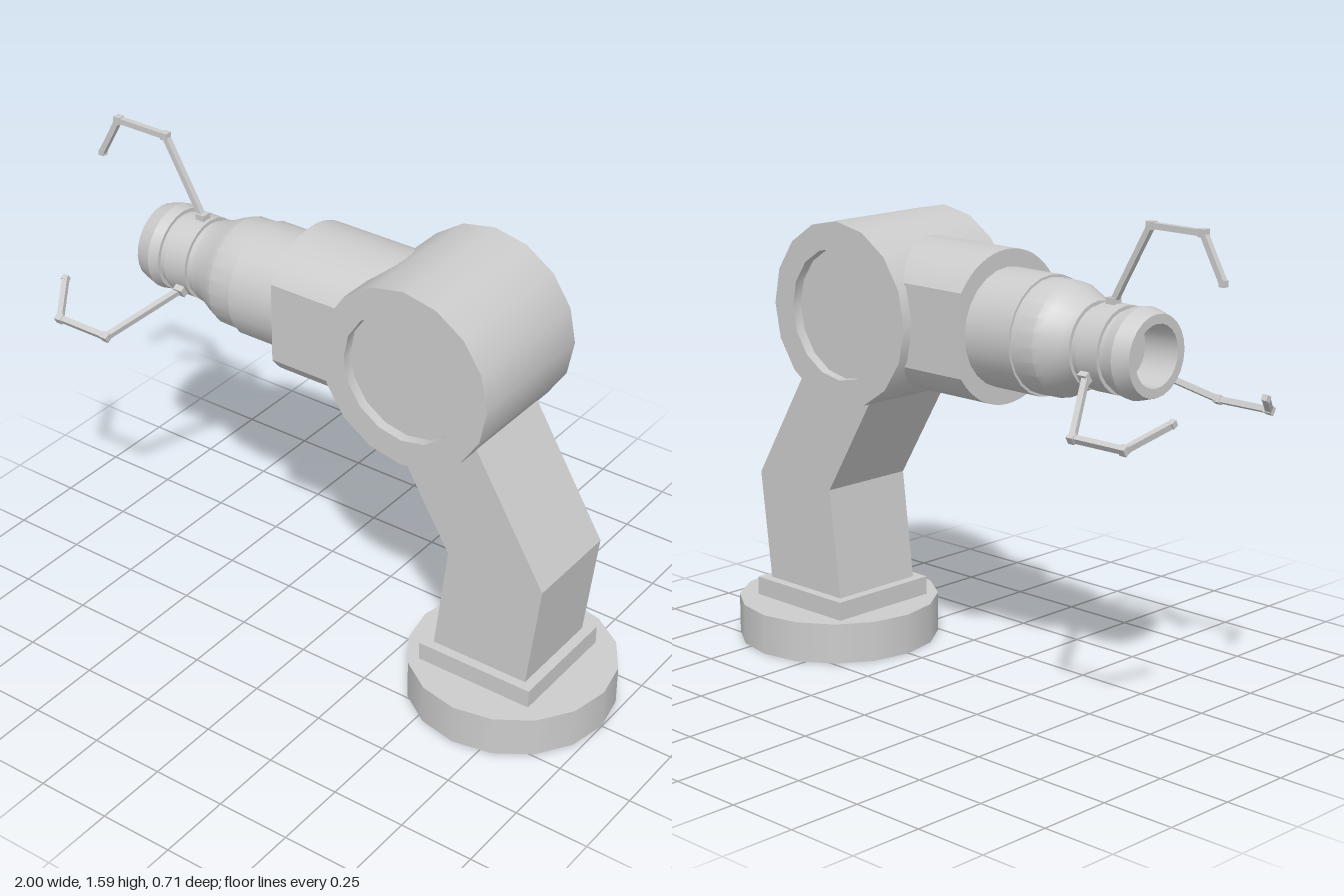
import * as THREE from 'three';
import { toCreasedNormals } from 'three/addons/utils/BufferGeometryUtils.js';

const AXIS_Y = 1.19; // height of the forearm and shoulder axis
const BASE_X = 0.657;

const grey = new THREE.MeshStandardMaterial({ color: 0xcccccc });
const greyDouble = new THREE.MeshStandardMaterial({ color: 0xcccccc, side: THREE.DoubleSide });

function part(parent, name, geometry, material = grey) {
  const mesh = new THREE.Mesh(geometry, material);
  mesh.name = name;
  parent.add(mesh);
  return mesh;
}

function lathe(points, sides) {
  const profile = points.map(([r, h]) => new THREE.Vector2(r, h));
  return toCreasedNormals(new THREE.LatheGeometry(profile, sides), 0.45);
}

function extrude(shape, depth) {
  const g = new THREE.ExtrudeGeometry(shape, { depth, bevelEnabled: false, curveSegments: 8 });
  return toCreasedNormals(g, 0.45);
}

const outline = (points) => new THREE.Shape(points.map(([x, y]) => new THREE.Vector2(x, y)));

const rectangle = (w, d) => [[-w, -d], [w, -d], [w, d], [-w, d]];

// Foot: a hollow round drum with a hollow square plate on top
function createFoot() {
  const foot = new THREE.Group();
  foot.name = 'foot';
  const radius = 0.342, top = 0.137, plateTop = 0.2, halfW = 0.207, halfD = 0.203;
  const plateX = 0.638 - BASE_X;

  const wall = new THREE.CylinderGeometry(radius, radius, top, 16, 1, true);
  part(foot, 'footWall', wall.translate(0, top / 2, 0), greyDouble);

  const disc = outline(Array.from({ length: 16 }, (_, i) => {
    const a = (i * Math.PI) / 8;
    return [radius * Math.cos(a), radius * Math.sin(a)];
  }));
  const hole = rectangle(halfW, halfD).map(([x, y]) => new THREE.Vector2(x + plateX, y));
  disc.holes.push(new THREE.Path(hole));
  const cover = new THREE.ShapeGeometry(disc).rotateX(-Math.PI / 2);
  part(foot, 'footCover', cover.translate(0, top, 0), greyDouble);

  const rise = plateTop - top;
  for (const s of [-1, 1]) {
    const long = new THREE.PlaneGeometry(2 * halfW, rise);
    part(foot, 'plateEdge', long.translate(plateX, top + rise / 2, s * halfD), greyDouble)
      .geometry.computeVertexNormals();
    const short = new THREE.PlaneGeometry(2 * halfD, rise).rotateY(Math.PI / 2);
    part(foot, 'plateEdge', short.translate(plateX + s * halfW, top + rise / 2, 0), greyDouble);
  }
  const plate = new THREE.PlaneGeometry(2 * halfW, 2 * halfD).rotateX(-Math.PI / 2);
  part(foot, 'plateTop', plate.translate(plateX, plateTop, 0), greyDouble);

  foot.position.x = BASE_X;
  return foot;
}

// Finger: square bars between joints, lying in the plane of the wrist axis
function createFinger() {
  const finger = new THREE.Group();
  finger.name = 'finger';
  const joints = [[-0.575, 0.138], [-0.717, 0.388], [-0.913, 0.388], [-0.99, 0.25]];
  for (let i = 0; i < joints.length - 1; i++) {
    const [x0, y0] = joints[i], [x1, y1] = joints[i + 1];
    const bar = part(finger, 'fingerBar',
      new THREE.BoxGeometry(Math.hypot(x1 - x0, y1 - y0), 0.019, 0.019));
    bar.position.set((x0 + x1) / 2, (y0 + y1) / 2, 0);
    bar.rotation.z = Math.atan2(y1 - y0, x1 - x0);
  }
  joints.forEach(([x, y], i) => {
    const size = [0.034, 0.025, 0.025, 0.02][i];
    const joint = part(finger, 'fingerJoint', new THREE.BoxGeometry(size, size, size));
    joint.position.set(x, y, 0);
  });
  return finger;
}

export function createModel() {
  const model = new THREE.Group();
  model.name = 'robotArm';
  model.add(createFoot());

  // Bent lower arm, its top end buried in the shoulder
  const lower = outline([
    [0.465, 0.2], [0.81, 0.2], [0.855, 0.567], [0.535, 1.1], [0.19, 1.1], [0.51, 0.567],
  ]);
  part(model, 'lowerArm', extrude(lower, 0.34).translate(0, 0, -0.17));

  // Shoulder drum with a shallow recess at each end
  const half = 0.243, floor = 0.209;
  const drum = lathe([
    [0, -floor], [0.215, -floor], [0.215, -half], [0.302, -half],
    [0.302, half], [0.215, half], [0.215, floor], [0, floor],
  ], 16);
  part(model, 'shoulder', drum.rotateX(Math.PI / 2)).position.set(0.377, AXIS_Y, 0);

  // Upper arm housing: a round bar with its two sides cut flat
  const radius = 0.247, cut = Math.acos(0.207 / radius);
  const section = new THREE.Shape();
  section.absarc(0, 0, radius, cut, Math.PI - cut, false);
  section.absarc(0, 0, radius, Math.PI + cut, 2 * Math.PI - cut, false);
  section.closePath();
  const housing = extrude(section, 0.42).rotateY(-Math.PI / 2);
  part(model, 'upperArm', housing).position.set(0.28, AXIS_Y, 0);

  // Stepped wrist with two grooves and a hollow nose, turned about the arm axis
  const wrist = lathe([
    [0, 0.1], [0.191, 0.1], [0.191, 0.325], [0.183, 0.325], [0.181, 0.41], [0.168, 0.44],
    [0.143, 0.49], [0.137, 0.52], [0.125, 0.52], [0.125, 0.545], [0.137, 0.545],
    [0.137, 0.63], [0.125, 0.63], [0.125, 0.655], [0.137, 0.655], [0.144, 0.692],
    [0.128, 0.748], [0.098, 0.748], [0.098, 0.62], [0, 0.62],
  ], 24);
  part(model, 'wrist', wrist.rotateZ(Math.PI / 2)).position.y = AXIS_Y;

  // Three fingers spaced evenly around the wrist
  for (let i = 0; i < 3; i++) {
    const finger = createFinger();
    finger.position.y = AXIS_Y;
    finger.rotation.x = (i * 2 * Math.PI) / 3;
    model.add(finger);
  }
  return model;
}
